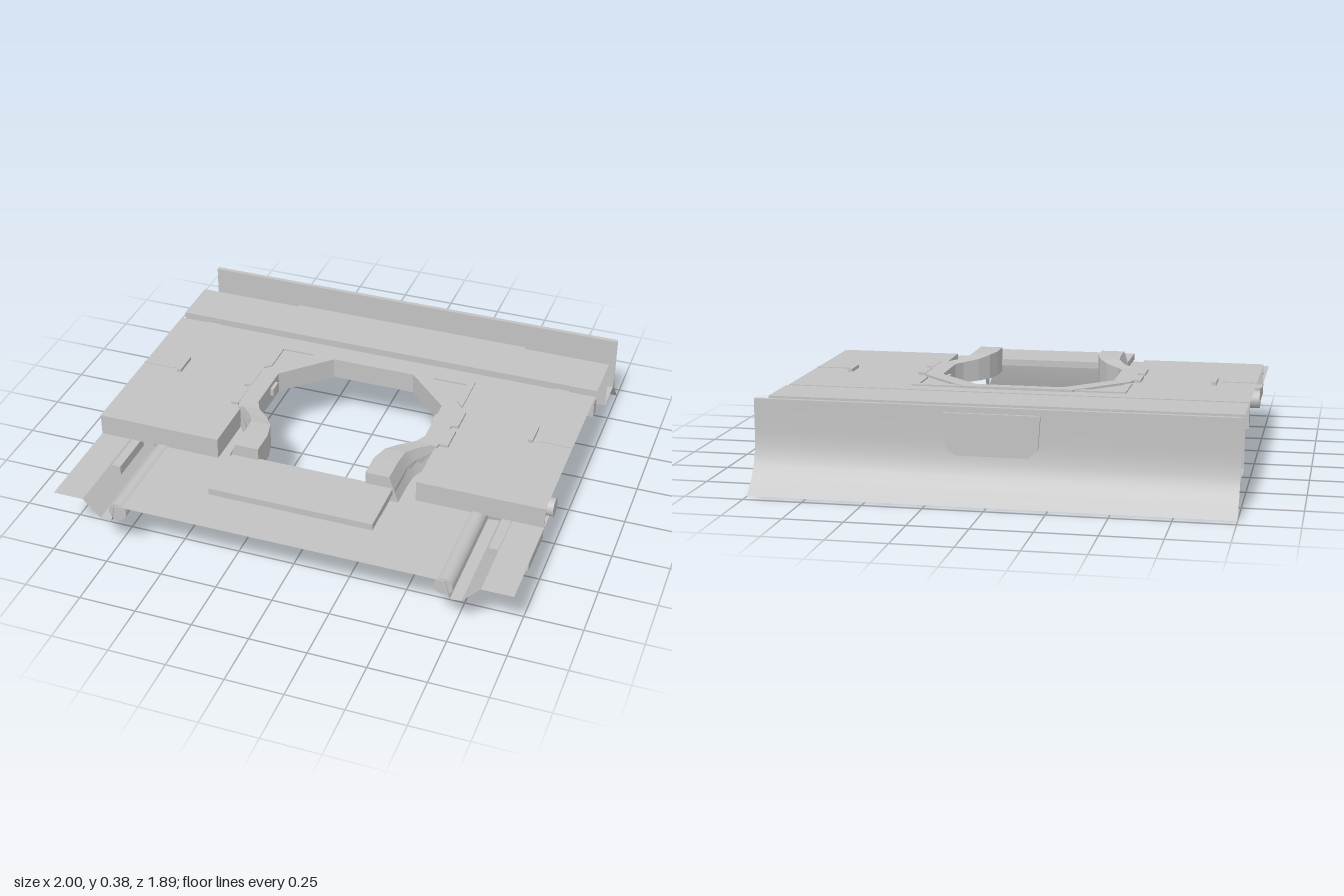
import * as THREE from 'three';

const steel = new THREE.MeshStandardMaterial({ color: 0xc2c2c2, side: THREE.DoubleSide });
steel.name = 'plainGrey';

function add(parent, name, geometry, x = 0, y = 0, z = 0) {
  const mesh = new THREE.Mesh(geometry, steel);
  mesh.name = name;
  mesh.position.set(x, y, z);
  parent.add(mesh);
  return mesh;
}

// box given by its limits
function box(parent, name, [x0, x1], [y0, y1], [z0, z1]) {
  return add(parent, name, new THREE.BoxGeometry(Math.abs(x1 - x0), y1 - y0, z1 - z0),
    (x0 + x1) / 2, (y0 + y1) / 2, (z0 + z1) / 2);
}

const shapeOf = pts => new THREE.Shape(pts.map(p => new THREE.Vector2(...p)));
const extrude = (shape, depth) => new THREE.ExtrudeGeometry(shape, { depth, bevelEnabled: false });

// flat sheet from [x, z] points at height y
const sheet = (shape, y) => new THREE.ShapeGeometry(shape).rotateX(Math.PI / 2).translate(0, y, 0);

// slab from [x, z] points, top at y
const slab = (shape, y, depth) => extrude(shape, depth).rotateX(Math.PI / 2).translate(0, y, 0);

// open bent sheet: joins two point rows
function bent(rowA, rowB, smooth = false) {
  const pos = [], index = [];
  rowA.forEach((p, i) => {
    pos.push(...p, ...rowB[i]);
    const k = i * 2;
    if (i) index.push(k - 2, k - 1, k, k, k - 1, k + 1);
  });
  let g = new THREE.BufferGeometry();
  g.setAttribute('position', new THREE.Float32BufferAttribute(pos, 3));
  g.setIndex(index);
  if (!smooth) g = g.toNonIndexed();
  g.computeVertexNormals();
  return g;
}
// profile of [z, y] swept over the width
const acrossX = (profile, x0, x1, smooth) =>
  bent(profile.map(([z, y]) => [x0, y, z]), profile.map(([z, y]) => [x1, y, z]), smooth);
// profile of [x, y] swept over the length
const alongZ = (profile, z0, z1) =>
  bent(profile.map(([x, y]) => [x, y, z0]), profile.map(([x, y]) => [x, y, z1]));
// [x, z] outline raised to height y
const atHeight = (pts, y) => pts.map(([x, z]) => [x, y, z]);

// left half of the opening frame, [x, z], mirrored where needed
const frameOuter = [[0.24, -0.315], [0.46, -0.09], [0.47, -0.06], [0.47, 0.18], [0.455, 0.23]];
const frameInner = [[0.19, -0.265], [0.385, -0.07], [0.385, 0.17], [0.36, 0.22], [0.30, 0.28],
  [0.26, 0.34], [0.24, 0.42], [0.24, 0.525]];
const funnelOuter = [[0.23, -0.305], [0.45, -0.085], [0.46, 0.18], [0.44, 0.23], [0.39, 0.30],
  [0.37, 0.36], [0.37, 0.42], [0.37, 0.525]];
const flip = pts => pts.map(([x, z]) => [-x, z]);
const bothSides = pts => [...flip(pts).reverse(), ...pts];

function addBack(g) {
  // rear panel with flared foot and rolled top edge
  add(g, 'rearPanel', acrossX([[-0.83, 0.385], [-0.83, 0.25], [-0.833, 0.2], [-0.842, 0.15],
    [-0.858, 0.11], [-0.88, 0.075], [-0.915, 0.037], [-0.95, 0]], -1, 1, true));
  add(g, 'rearPanelLip', acrossX([[-0.83, 0.385], [-0.81, 0.385], [-0.81, 0.27]], -1, 1));

  // central well under the beam, showing through the rear panel
  const well = top => shapeOf([[-0.2, top], [0.2, top], [0.19, 0.22], [0.15, 0.185],
    [-0.15, 0.185], [-0.19, 0.22]]);
  add(g, 'wellUnderBeam', extrude(well(0.355), 0.225), 0, 0, -0.645);
  add(g, 'wellUnderTrough', extrude(well(0.26), 0.165), 0, 0, -0.81);
  add(g, 'wellRearBulge', extrude(well(0.36), 0.015), 0, 0, -0.843);

  // trough with a shallow middle and deep ends
  const floor = [[-1, 0.135], [-0.7, 0.135], [-0.57, 0.265], [0.57, 0.265], [0.7, 0.135], [1, 0.135]];
  add(g, 'troughFloor', alongZ(floor, -0.81, -0.65));
  for (const z of [-0.81, -0.65])
    add(g, 'troughWall', bent(floor.map(([x, y]) => [x, y, z]), floor.map(([x]) => [x, 0.36, z])));

  // open cross beam and the groove in front of it
  add(g, 'crossBeam', acrossX([[-0.42, 0.25], [-0.42, 0.36], [-0.65, 0.36]], -1, 1));
  box(g, 'beamGroove', [-1, 1], [0.25, 0.325], [-0.42, -0.375]);
  for (const s of [-1, 1]) box(g, 'grooveClip', [s * 0.81, s * 0.88], [0.325, 0.335], [-0.415, -0.38]);
}

function addDeck(g) {
  // raised deck, cut out around the frame and open at the front
  const side = [[0.45, 0.485], [0.45, 0.23], ...frameOuter.slice(0, 4).reverse()];
  const deck = shapeOf([[-1, -0.38], [1, -0.38], [1, 0.485], ...side, ...flip(side).reverse(), [-1, 0.485]]);
  add(g, 'deck', sheet(deck, 0.355));
  add(g, 'deckBackEdge', acrossX([[-0.38, 0.355], [-0.38, 0.3]], -1, 1));

  // frame band around the opening
  const band = shapeOf([...bothSides(frameOuter), ...bothSides(frameInner.slice(0, 4)).reverse()]);
  add(g, 'openingFrame', slab(band, 0.365, 0.035));

  // funnel under the band: inner wall and sloping underside
  const mouth = bothSides(frameInner);
  add(g, 'funnelWall', bent(atHeight(mouth, 0.33), atHeight(mouth, 0.27)));
  add(g, 'funnelUnderside', bent(atHeight(mouth, 0.27), atHeight(bothSides(funnelOuter), 0.3)));
  add(g, 'funnelOuterWall', bent(atHeight(bothSides(funnelOuter), 0.3), atHeight(bothSides(funnelOuter), 0.33)));

  for (const s of [-1, 1]) {
    const X = (a, b) => [s * a, s * b];
    // raised frame leg with a sloping outer side: [z, outer x, ridge x, inner x, top y]
    const leg = [[0.22, 0.46, 0.44, 0.36, 0.365], [0.28, 0.415, 0.38, 0.30, 0.372],
      [0.34, 0.39, 0.35, 0.26, 0.382], [0.42, 0.385, 0.345, 0.24, 0.385], [0.53, 0.385, 0.345, 0.24, 0.385]];
    const ridge = leg.map(([z, , r, , y]) => [s * r, y, z]);
    const rim = leg.map(([z, , , i, y]) => [s * i, y, z]);
    add(g, 'frameLegTop', bent(ridge, rim));
    add(g, 'frameLegSlope', bent(leg.map(([z, o]) => [s * o, 0.265, z]), ridge, true));
    add(g, 'frameLegInside', bent(rim, leg.map(([z, , , i]) => [s * i, 0.32, z])));
    const end = shapeOf([[0.385, 0.265], [0.345, 0.385], [0.24, 0.385], [0.24, 0.265]].map(([x, y]) => [s * x, y]));
    add(g, 'frameLegEnd', new THREE.ShapeGeometry(end), 0, 0, 0.53);

    box(g, 'deckFrontFace', X(0.45, 1), [0.26, 0.355], [0.481, 0.485]);
    box(g, 'deckInnerFace', X(0.447, 0.45), [0.26, 0.355], [0.23, 0.485]);
    // small fittings on and under the deck
    box(g, 'deckTab', X(0.81, 0.83), [0.345, 0.37], [-0.055, 0.055]);
    box(g, 'deckSeam', X(0.85, 1), [0.352, 0.358], [0.025, 0.035]);
    for (const z of [-0.06, 0.09]) box(g, 'framePad', X(0.465, 0.5), [0.345, 0.367], [z, z + 0.12]);
    const bracket = shapeOf([[-0.17, 0.335], [0.17, 0.335], [0.06, 0.275], [-0.06, 0.275]]);
    add(g, 'frameBracket', extrude(bracket, 0.06).rotateY(Math.PI / 2), s > 0 ? 0.4 : -0.46, 0, 0);
    box(g, 'innerCatch', X(0.37, 0.39), [0.31, 0.345], [-0.03, 0.03]);
    // corner gusset of the frame
    const gusset = shapeOf([[0.24, -0.305], [0.47, -0.305], [0.47, -0.1], [0.44, -0.13],
      [0.44, -0.275], [0.28, -0.275]].map(([x, z]) => [s * x, z]));
    add(g, 'cornerGusset', slab(gusset, 0.362, 0.025));
  }
}

function addFront(g) {
  // lower front panel reaching back to the frame, notched over the flap
  const edgeLine = [[0.72, 0.945], [0.72, 0.4], [0.46, 0.4], [0.46, 0.17], [0.40, 0.17], [0.385, 0.28],
    [0.345, 0.36], [0.345, 0.65]];
  add(g, 'frontPanel', sheet(shapeOf([...edgeLine, ...flip(edgeLine).reverse()]), 0.26));

  // hood plate and the flap hanging under it
  box(g, 'hoodPlate', [-0.36, 0.36], [0.3, 0.33], [0.52, 0.785]);
  const flap = [[0.63, 0.3], [0.645, 0.24], [0.67, 0.17], [0.69, 0.12], [0.7, 0.085]];
  const halfWidth = [0.3, 0.31, 0.335, 0.345, 0.32];
  const edge = s => flap.map(([z, y], i) => [s * halfWidth[i], y, z]);
  add(g, 'frontFlap', bent(edge(-1), edge(1), true));

  for (const s of [-1, 1]) {
    const X = (a, b) => [s * a, s * b];
    const gusset = shapeOf([[-0.7, 0.085], [-0.69, 0.26], [-0.63, 0.3], [-0.58, 0.3], [-0.62, 0.19]]);
    add(g, 'flapGusset', new THREE.ShapeGeometry(gusset).rotateY(Math.PI / 2), s * 0.34, 0, 0);
    box(g, 'hoodSupport', X(0.3, 0.345), [0.25, 0.32], [0.525, 0.64]);

    // outer wing dipping into a valley beside the panel
    const valley = [[1, 0.26], [0.865, 0.26], [0.79, 0.18], [0.74, 0.175], [0.72, 0.26]];
    add(g, 'sideWing', alongZ(valley.map(([x, y]) => [s * x, y]), 0.4, 0.945));
    box(g, 'sideTray', X(0.82, 0.99), [0.18, 0.255], [0.45, 0.68]);

    // bent pipe running forward from the side
    const path = new THREE.CurvePath();
    const v = (x, z) => new THREE.Vector3(s * x, 0.228, z);
    path.add(new THREE.LineCurve3(v(1, 0.295), v(0.8, 0.295)));
    path.add(new THREE.QuadraticBezierCurve3(v(0.8, 0.295), v(0.71, 0.295), v(0.71, 0.385)));
    path.add(new THREE.LineCurve3(v(0.71, 0.385), v(0.71, 0.94)));
    add(g, 'sidePipe', new THREE.TubeGeometry(path, 40, 0.04, 16));
    for (const [x, z, turn] of [[1, 0.295, Math.PI / 2 * s], [0.71, 0.94, 0]])
      add(g, 'pipeEnd', new THREE.CircleGeometry(0.04, 16).rotateY(turn), s * x, 0.228, z);
  }
}

export function createModel() {
  const model = new THREE.Group();
  model.name = 'floorPanel';
  for (const [name, build] of [['rearSection', addBack], ['deckSection', addDeck], ['frontSection', addFront]]) {
    const part = new THREE.Group();
    part.name = name;
    build(part);
    model.add(part);
  }
  return model;
}
